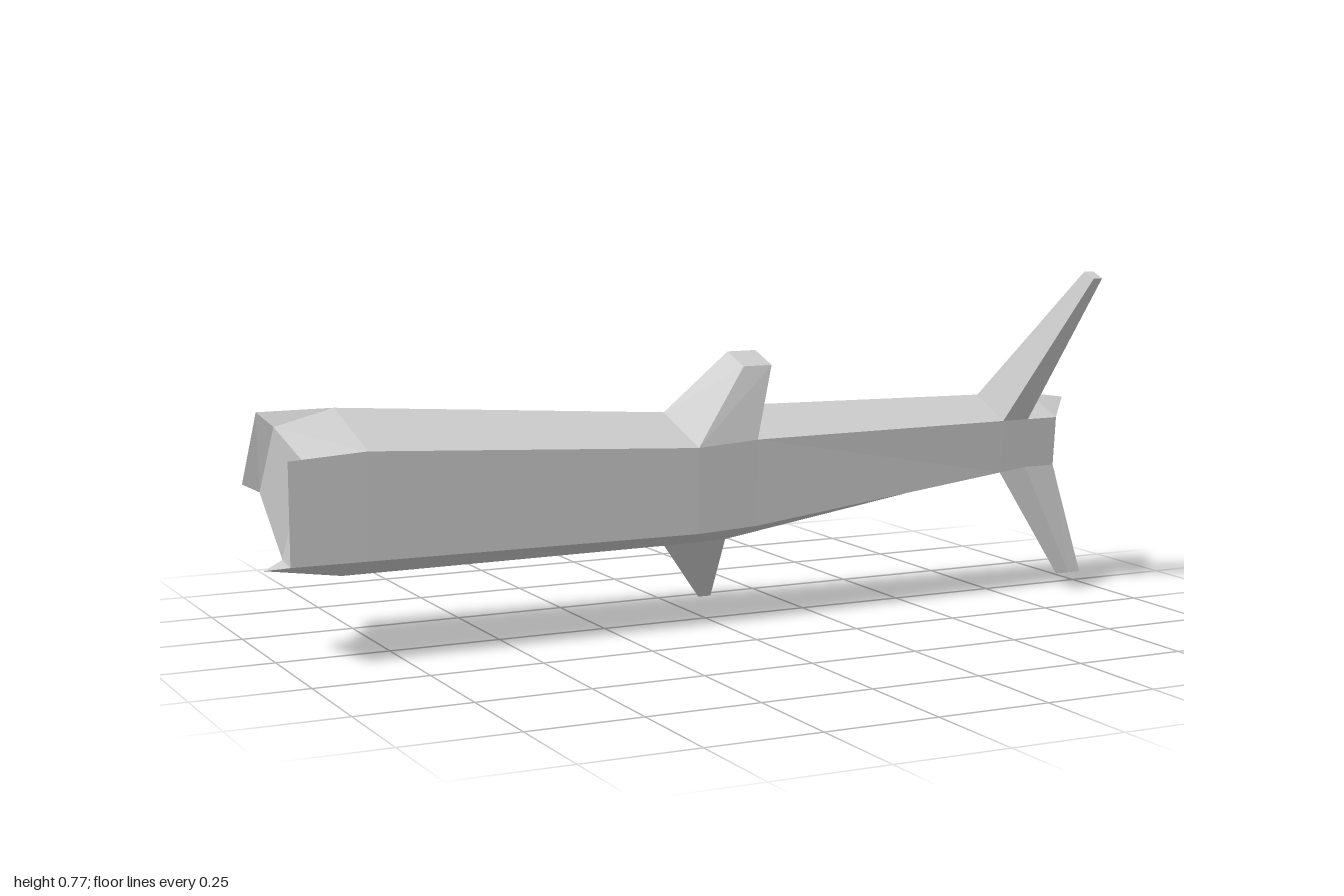
import * as THREE from 'three';

const grey = new THREE.MeshStandardMaterial({ color: 0xcccccc, flatShading: true, side: THREE.DoubleSide });
grey.name = 'light grey';

// Flat-sided mesh from convex polygons, each cut into a fan of triangles
function polyMesh(name, polys) {
  const pos = [];
  for (const p of polys)
    for (let i = 1; i < p.length - 1; i++) pos.push(...p[0], ...p[i], ...p[i + 1]);
  const geo = new THREE.BufferGeometry();
  geo.setAttribute('position', new THREE.Float32BufferAttribute(pos, 3));
  geo.computeVertexNormals();
  const mesh = new THREE.Mesh(geo, grey);
  mesh.name = name;
  return mesh;
}

// Four-sided tapered fin from a root quad to a tip quad
function fin(name, root, tip) {
  const polys = [tip];
  for (let i = 0; i < 4; i++) {
    const j = (i + 1) % 4;
    polys.push([root[i], root[j], tip[j], tip[i]]);
  }
  return polyMesh(name, polys);
}

// Pentagon section at x: five [y, z] corners, from the top ridge over the front and round
const section = (x, corners) => corners.map(([y, z]) => [x, y, z]);

export function createModel() {
  const g = new THREE.Group();
  g.name = 'finnedBody';

  const S = [
    section(-0.83, [[0.515, -0.1], [0.45, 0.12], [0.22, 0.115], [0.157, -0.07], [0.345, -0.22]]),
    section(-0.07, [[0.465, -0.07], [0.407, 0.11], [0.215, 0.105], [0.16, -0.07], [0.31, -0.185]]),
    section(0.08, [[0.475, -0.045], [0.415, 0.1], [0.22, 0.095], [0.165, -0.06], [0.32, -0.158]]),
    section(0.74, [[0.465, -0.035], [0.415, 0.078], [0.292, 0.07], [0.268, -0.043], [0.37, -0.115]]),
    section(0.81, [[0.463, -0.036], [0.415, 0.076], [0.3, 0.067], [0.275, -0.044], [0.37, -0.113]]),
    section(0.89, [[0.46, -0.04], [0.415, 0.075], [0.3, 0.065], [0.273, -0.045], [0.37, -0.111]]),
  ];

  // Body: loft through the sections
  const body = [];
  for (let i = 0; i < S.length - 1; i++)
    for (let j = 0; j < 5; j++) {
      const k = (j + 1) % 5;
      body.push([S[i][j], S[i][k], S[i + 1][k], S[i + 1][j]]);
    }
  g.add(polyMesh('body', body));

  // Jaws: three panels run on to the end, the other two are notched
  const [A, B, C, D, E] = S[0];
  const [A2, B2, C2, D2, E2] = section(-1, [[0.515, -0.1], [0.44, 0.12], [0.222, 0.122], [0.182, -0.07], [0.345, -0.22]]);
  const qa = [-0.97, 0.485, -0.075], qb = [-0.955, 0.43, 0.085];
  const qe = [-0.97, 0.33, -0.192], qd = [-0.955, 0.2, -0.085];
  g.add(polyMesh('upperJaw', [
    [E2, A2, A, E], [A2, E2, qe, qa], [A2, qa, A], [E2, E, qe],
  ]));
  g.add(polyMesh('lowerJaw', [
    [B2, C2, C, B], [C2, D2, D, C], [B2, B, qb], [D2, qd, D],
    [qb, C2, B2], [qb, qd, C2], [qd, D2, C2],
  ]));
  g.add(polyMesh('mouthNotches', [
    [qa, qb, B, A], [qd, qe, E, D], [qa, qe, qd, qb],
  ]));

  // Tail end: cap and pointed spike carried on from the back panel
  const [a, b, c, d, e] = S[5];
  const tipA = [1, 0.443, -0.062], tipE = [0.96, 0.405, -0.1];
  g.add(polyMesh('tailCap', [[b, c, d, e]]));
  g.add(polyMesh('tailSpike', [
    [e, a, tipA, tipE], [a, b, tipA], [b, e, tipA], [e, tipE, tipA],
  ]));

  // Fins, each rooted on one panel of the body
  const root = (i, j) => [S[i][j], S[i][j + 1], S[i + 1][j + 1], S[i + 1][j]];
  g.add(fin('upperSideFin', root(1, 0),
    [[0.06, 0.602, -0.01], [0.065, 0.575, 0.06], [0.135, 0.575, 0.06], [0.13, 0.602, -0.01]]));
  g.add(fin('lowerSideFin', root(1, 3),
    [[0.09, 0, -0.22], [0.085, 0.045, -0.25], [0.122, 0.045, -0.25], [0.122, 0, -0.22]]));
  g.add(fin('upperTailFin', root(3, 0),
    [[0.86, 0.77, 0.22], [0.862, 0.756, 0.255], [0.885, 0.756, 0.255], [0.885, 0.77, 0.22]]));
  g.add(fin('lowerTailFin', root(4, 2),
    [[0.92, 0.042, 0.095], [0.92, 0.03, 0.045], [0.952, 0.03, 0.045], [0.952, 0.042, 0.095]]));

  return g;
}
